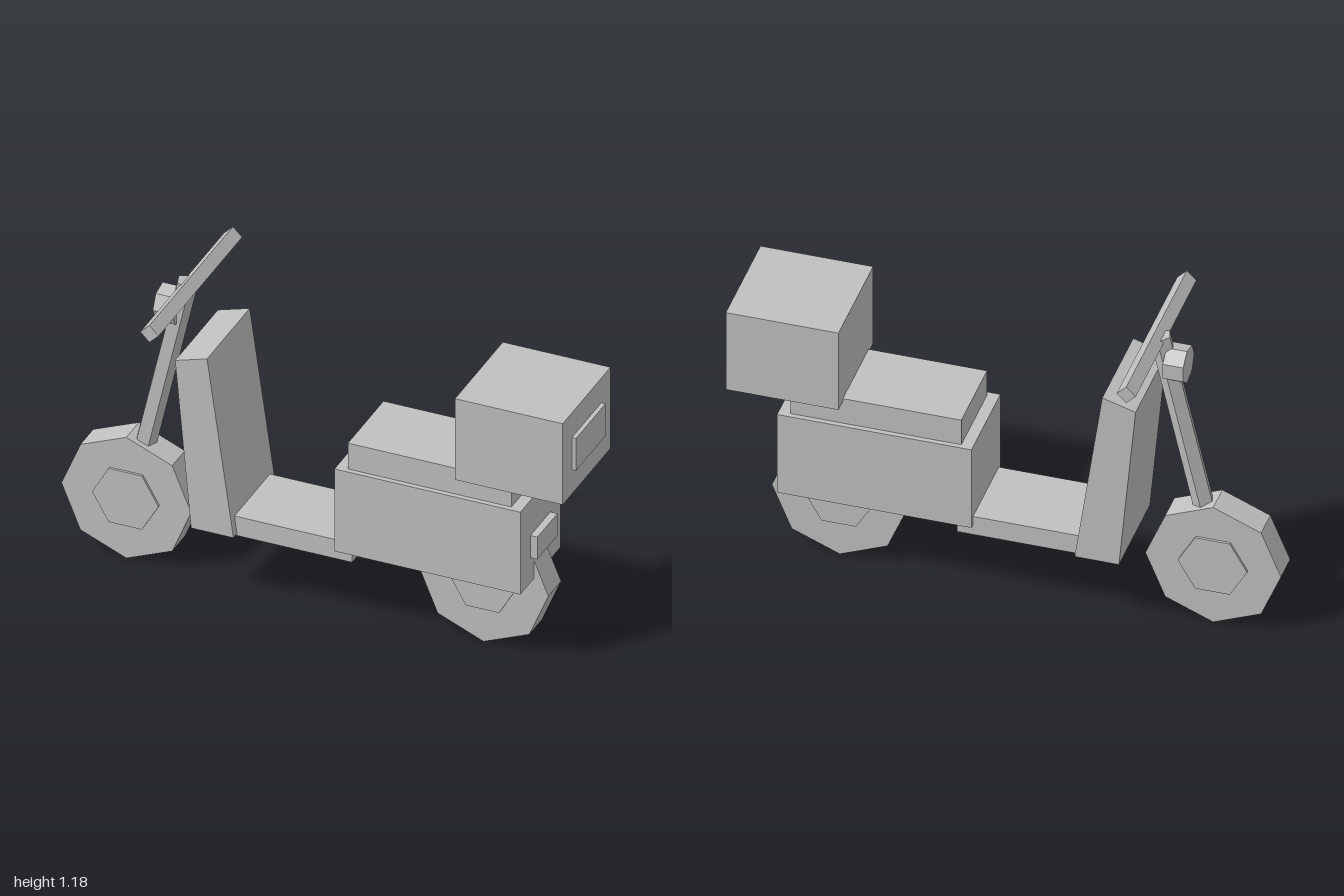
import * as THREE from 'three';

export function createModel() {
  const model = new THREE.Group();
  const grey = new THREE.MeshStandardMaterial({ color: 0xc0c0c0, flatShading: true });
  grey.name = 'plain grey';

  const add = (name, geometry, parent = model) => {
    const mesh = new THREE.Mesh(geometry, grey);
    mesh.name = name;
    parent.add(mesh);
    return mesh;
  };

  // Box given by its x and y limits and its half width in z
  const block = (name, x0, x1, y0, y1, halfZ) =>
    add(name, new THREE.BoxGeometry(x1 - x0, y1 - y0, halfZ * 2))
      .position.set((x0 + x1) / 2, (y0 + y1) / 2, 0);

  // Wheels: octagonal tyre with a hexagonal hub cap showing on both sides
  const disc = (radius, width, sides) =>
    new THREE.CylinderGeometry(radius, radius, width, sides).rotateY(Math.PI / 2).rotateX(Math.PI / 2);
  for (const [name, x] of [['frontWheel', -0.752], ['rearWheel', 0.614]]) {
    const wheel = new THREE.Group();
    wheel.name = name;
    wheel.position.set(x, 0.248, 0);
    add('tyre', disc(0.248, 0.11, 8), wheel);
    add('hub', disc(0.127, 0.128, 6), wheel);
    model.add(wheel);
  }

  // Steering column: five-sided rod leaning back from the front axle
  const axle = new THREE.Vector2(-0.752, 0.248);
  const head = new THREE.Vector2(-0.544, 1.158);
  const lean = head.clone().sub(axle);
  const column = add('steeringColumn',
    new THREE.CylinderGeometry(0.04, 0.04, lean.length(), 5).rotateY(Math.PI));
  column.position.set((axle.x + head.x) / 2, (axle.y + head.y) / 2, 0);
  column.rotation.z = -Math.atan2(lean.x, lean.y);

  // Handlebar: four-sided bar across the top
  add('handlebar', new THREE.CylinderGeometry(0.035, 0.035, 0.72, 4).rotateX(Math.PI / 2))
    .position.set(-0.528, 1.149, 0);

  // Headlamp: seven-sided drum facing forward
  add('headlamp', new THREE.CylinderGeometry(0.07, 0.07, 0.075, 7).rotateZ(Math.PI / 2))
    .position.set(-0.607, 1.053, 0);

  // Leg shield: tapered slab leaning forward
  const outline = new THREE.Shape([
    [-0.447, 0.273], [-0.285, 0.273], [-0.386, 0.983], [-0.508, 0.946],
  ].map(([x, y]) => new THREE.Vector2(x, y)));
  add('legShield', new THREE.ExtrudeGeometry(outline, { depth: 0.368, bevelEnabled: false })
    .translate(0, 0, -0.184));

  // Body, seat and luggage
  block('footboard', -0.318, 0.155, 0.265, 0.343, 0.153);
  block('rearBody', 0.096, 0.807, 0.307, 0.645, 0.172);
  block('seat', 0.139, 0.764, 0.643, 0.751, 0.153);
  block('tailLight', 0.79, 0.834, 0.41, 0.501, 0.086);
  block('cargoBox', 0.572, 0.984, 0.739, 1.072, 0.206);
  block('cargoPanel', 0.97, 1.0, 0.839, 0.971, 0.127);

  return model;
}
